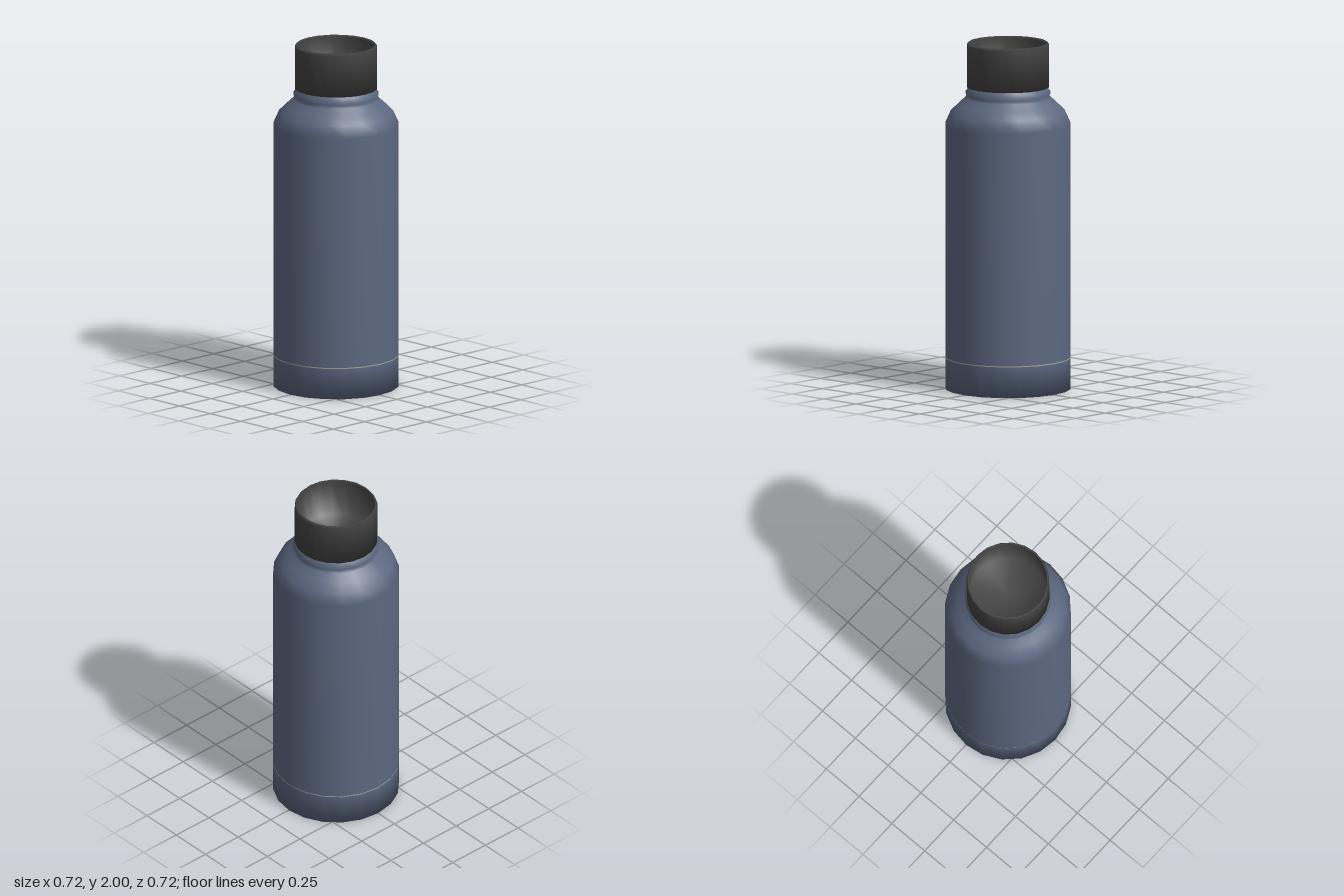
import * as THREE from 'three';

const SIDES = 20;

// Turned part from [radius, height] pairs, listed bottom to top on the outside
function turned(name, profile, color) {
  const points = profile.map(([r, y]) => new THREE.Vector2(r, y));
  const material = new THREE.MeshStandardMaterial({ color, side: THREE.DoubleSide });
  const mesh = new THREE.Mesh(new THREE.LatheGeometry(points, SIDES), material);
  mesh.name = name;
  return mesh;
}

export function createModel() {
  const group = new THREE.Group();
  group.name = 'bottle';
  const blue = 0x5c6880;

  // Base cup with a flat underside
  group.add(turned('base', [[0, 0], [0.361, 0], [0.361, 0.178]], blue));

  // Thin pale seam between base and body
  group.add(turned('seam', [[0.359, 0.176], [0.359, 0.186]], 0xa8a698));

  // Body, sloping shoulder and beaded neck
  group.add(turned('body', [
    [0.361, 0.184], [0.361, 1.53], [0.33, 1.6], [0.285, 1.645], [0.247, 1.68],
    [0.236, 1.695], [0.246, 1.712], [0.228, 1.735], [0.222, 1.75],
  ], blue));

  // Open cap: floor, outer wall, bevelled lip, inner wall
  group.add(turned('cap', [
    [0, 1.745], [0.237, 1.745], [0.237, 1.985], [0.227, 2],
    [0.224, 1.985], [0.224, 1.755], [0, 1.755],
  ], 0x444444));

  return group;
}
